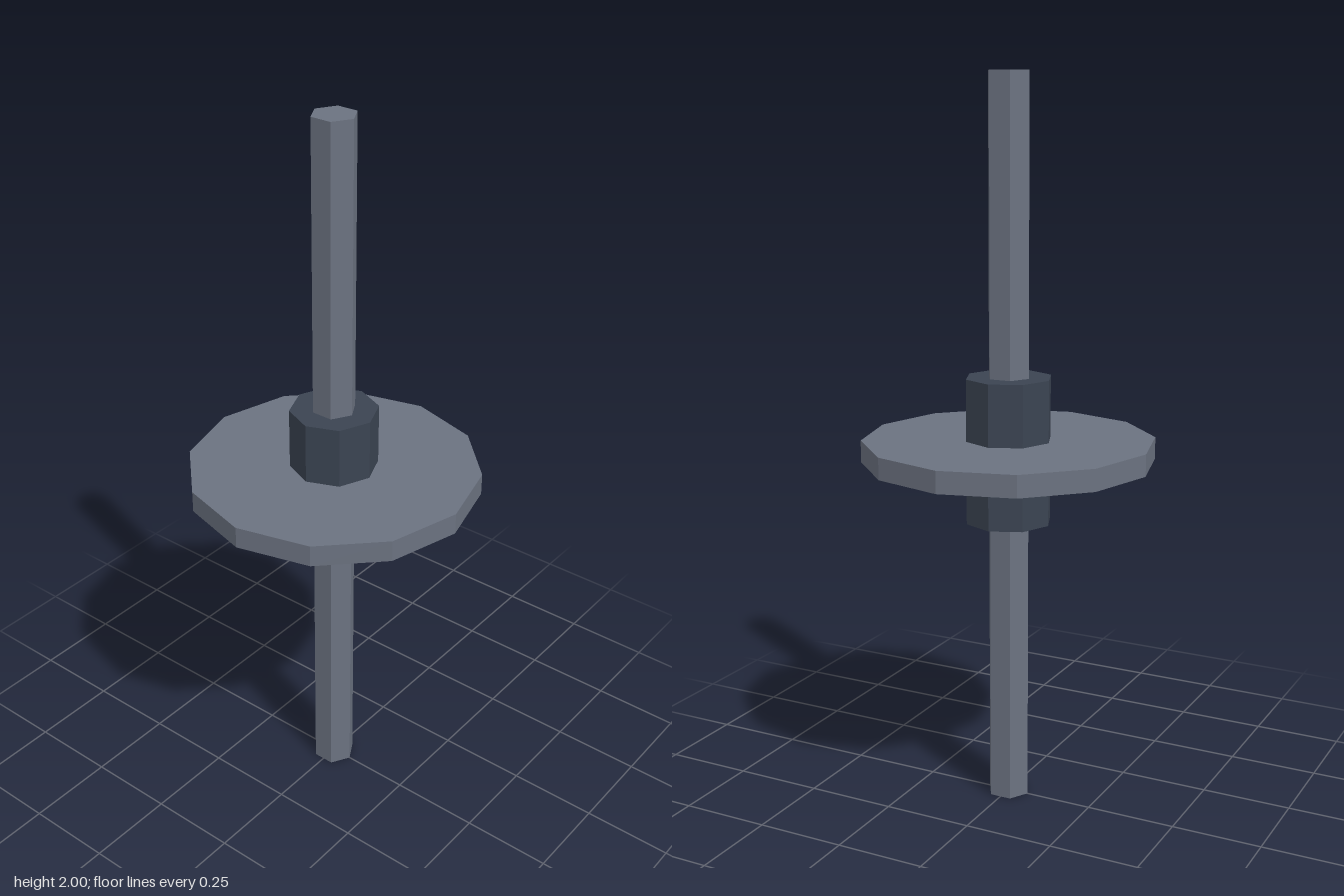
import * as THREE from 'three';

// Faceted cylinder centred on the axle's mid-height
function prism(name, radius, height, sides, color) {
  const mesh = new THREE.Mesh(
    new THREE.CylinderGeometry(radius, radius, height, sides),
    new THREE.MeshStandardMaterial({ color, flatShading: true })
  );
  mesh.name = name;
  mesh.position.y = 1;
  return mesh;
}

export function createModel() {
  const group = new THREE.Group();
  group.name = 'axleWithDisc';
  group.add(
    prism('axle', 0.06, 2, 6, 0x6b7280), // hexagonal rod
    prism('hub', 0.12, 0.4, 8, 0x3b4452), // octagonal collar
    prism('disc', 0.4, 0.06, 12, 0x6b7280) // twelve-sided plate
  );
  return group;
}
